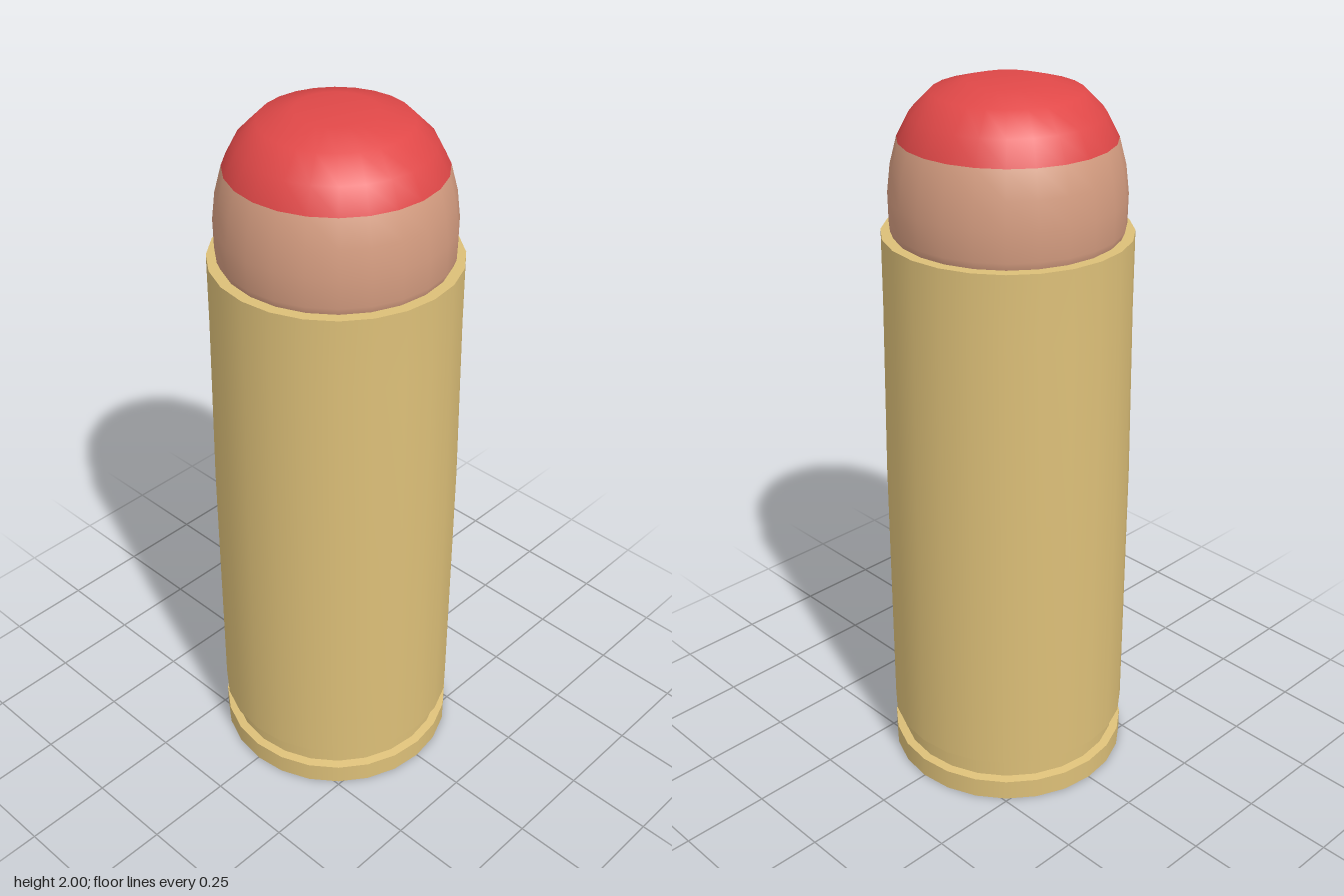
import * as THREE from 'three';

const SIDES = 24;
const points = (list) => list.map(([r, y]) => new THREE.Vector2(r, y));

export function createModel() {
  const brass = new THREE.MeshStandardMaterial({ color: 0xdcbf78 });
  brass.name = 'brass';
  const copper = new THREE.MeshStandardMaterial({ color: 0xd49c80 });
  copper.name = 'copper';
  const red = new THREE.MeshStandardMaterial({ color: 0xe04848 });
  red.name = 'red';

  const model = new THREE.Group();
  model.name = 'cartridge';

  // Each profile is turned separately, so the edges between parts stay sharp
  const turn = (name, profile, material, parent = model) => {
    const mesh = new THREE.Mesh(new THREE.LatheGeometry(points(profile), SIDES), material);
    mesh.name = name;
    parent.add(mesh);
    return mesh;
  };

  // Casing: base, rim, extractor groove, tapered wall and mouth
  const casing = new THREE.Group();
  casing.name = 'casing';
  model.add(casing);
  turn('base', [[0, 0], [0.342, 0]], brass, casing);
  turn('rim', [[0.342, 0], [0.342, 0.06]], brass, casing);
  turn('rimTop', [[0.342, 0.06], [0.318, 0.064]], brass, casing);
  turn('grooveWall', [[0.318, 0.064], [0.318, 0.112]], brass, casing);
  turn('grooveBevel', [[0.318, 0.112], [0.342, 0.13]], brass, casing);
  turn('caseWall', [[0.342, 0.13], [0.341, 0.9], [0.333, 1.4], [0.332, 1.61]], brass, casing);
  turn('caseMouth', [[0.332, 1.61], [0.295, 1.61]], brass, casing);

  // Bullet: copper jacket with a red tip, shaded smoothly across the colour change
  const profile = [
    [0.3, 1.605], [0.31, 1.63], [0.311, 1.71], [0.302, 1.785], [0.283, 1.857],
    [0.25, 1.92], [0.195, 1.975], [0.105, 2], [0, 2],
  ];
  const bullet = turn('bullet', profile, [copper, red]);
  const rows = profile.length - 1;
  const jacketRows = 4;
  for (let i = 0; i < SIDES; i++) {
    const start = i * rows * 6;
    bullet.geometry.addGroup(start, jacketRows * 6, 0);
    bullet.geometry.addGroup(start + jacketRows * 6, (rows - jacketRows) * 6, 1);
  }

  return model;
}
